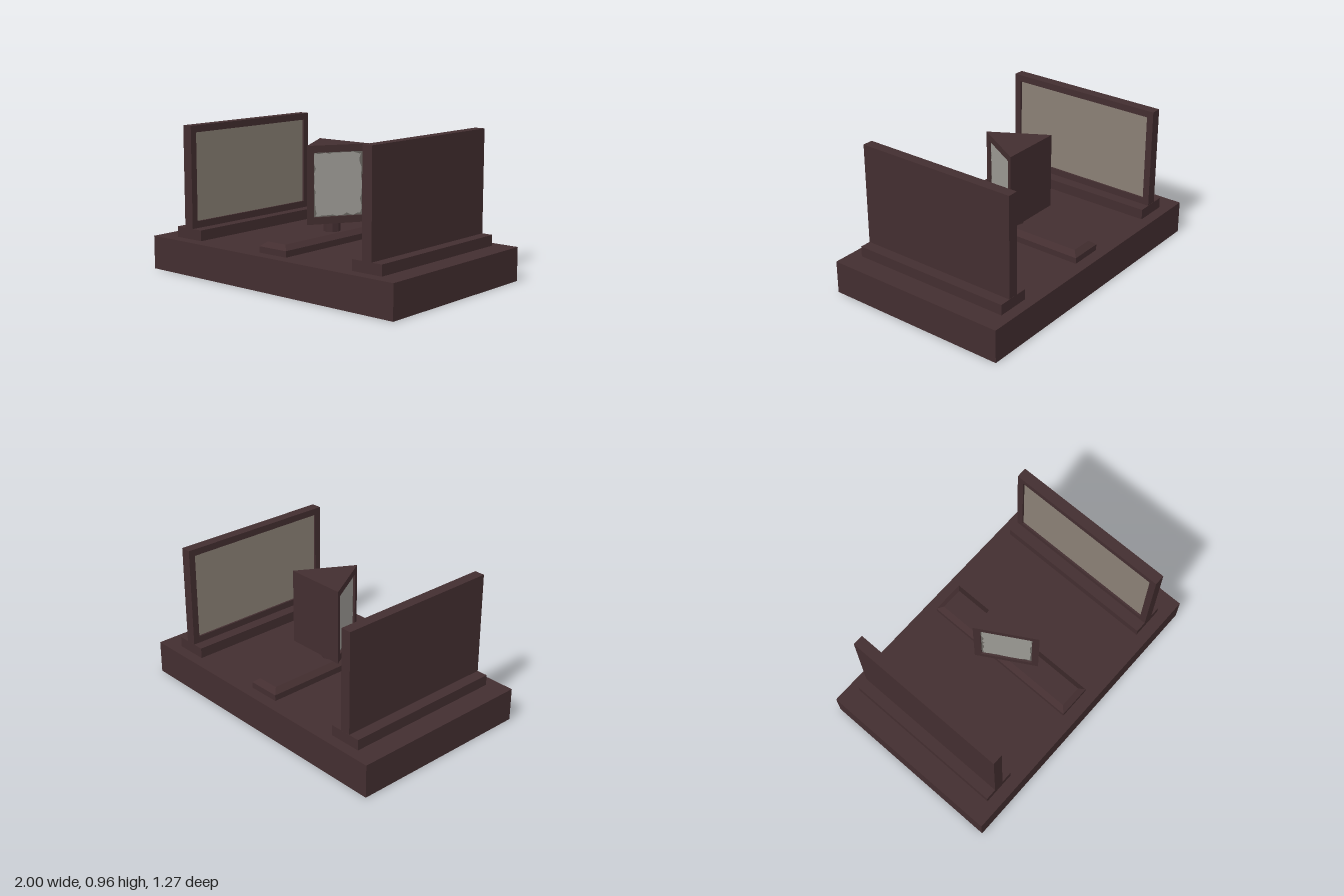
import * as THREE from 'three';

const mat = (name, color) => {
  const m = new THREE.MeshStandardMaterial({ color });
  m.name = name;
  return m;
};

// Small seeded generator for the worn mirror edges
function seeded(seed) {
  return () => {
    seed = (seed * 16807) % 2147483647;
    return seed / 2147483647;
  };
}

const BORDER = 0.045; // frame width around each recess
const DEPTH = 0.015; // recess depth

// Extrudes a plan outline of [x, z] points upwards from y0 to y1
function planPrism(points, y0, y1, bevel) {
  const shape = new THREE.Shape(points.map(([x, z]) => new THREE.Vector2(x, -z)));
  const geo = new THREE.ExtrudeGeometry(shape, { depth: y1 - y0, bevelEnabled: false, ...bevel });
  geo.rotateX(-Math.PI / 2);
  geo.translate(0, y0, 0);
  return geo;
}

// Length, direction and outward normal of one side of an outline
function sideOf(points, i) {
  const p = new THREE.Vector2(...points[i]);
  const q = new THREE.Vector2(...points[(i + 1) % points.length]);
  const centre = new THREE.Vector2();
  points.forEach(([x, z]) => centre.add(new THREE.Vector2(x, z)));
  centre.divideScalar(points.length);
  const dir = q.clone().sub(p).normalize();
  const normal = new THREE.Vector2(-dir.y, dir.x);
  const middle = p.clone().add(q).multiplyScalar(0.5);
  if (normal.dot(middle.clone().sub(centre)) < 0) normal.negate();
  return { p, q, dir, normal, middle, length: p.distanceTo(q) };
}

// Rectangle outline with uneven, worn edges
function wornShape(w, h, rand) {
  const pts = [];
  const corners = [[-w / 2, -h / 2], [w / 2, -h / 2], [w / 2, h / 2], [-w / 2, h / 2]];
  corners.forEach(([x, y], i) => {
    const [nx, ny] = corners[(i + 1) % 4];
    for (let k = 0; k < 14; k++) {
      const t = (k + 0.5) / 14;
      const bite = 0.003 + 0.018 * rand() ** 2;
      const px = x + (nx - x) * t, py = y + (ny - y) * t;
      pts.push(new THREE.Vector2(
        THREE.MathUtils.clamp(px, -w / 2 + bite, w / 2 - bite),
        THREE.MathUtils.clamp(py, -h / 2 + bite, h / 2 - bite)));
    }
  });
  return new THREE.Shape(pts);
}

// Upright body with a recessed window on the chosen sides
function framedBody(name, points, recessed, y0, y1, wood, glass) {
  const group = new THREE.Group();
  group.name = name;
  const add = (part, geo, material) => {
    const mesh = new THREE.Mesh(geo, material);
    mesh.name = part;
    group.add(mesh);
    return mesh;
  };
  const low = y0 + BORDER, high = y1 - BORDER;

  const outline = [];
  points.forEach((pt, i) => {
    outline.push(pt);
    if (!recessed.includes(i)) return;
    const s = sideOf(points, i);
    const at = (from, along, inward) => {
      const v = from.clone().addScaledVector(s.dir, along).addScaledVector(s.normal, -inward);
      outline.push([v.x, v.y]);
    };
    at(s.p, BORDER, 0);
    at(s.p, BORDER, DEPTH);
    at(s.q, -BORDER, DEPTH);
    at(s.q, -BORDER, 0);
  });
  add('bottomFrame', planPrism(points, y0, low), wood);
  add('frameBody', planPrism(outline, low, high), wood);
  add('topFrame', planPrism(points, high, y1), wood);

  // Glass lies on the floor of each recess
  recessed.forEach((i) => {
    const s = sideOf(points, i);
    const w = s.length - 2 * BORDER, h = high - low;
    const place = (mesh, lift) => {
      const v = s.middle.clone().addScaledVector(s.normal, lift - DEPTH);
      mesh.position.set(v.x, (low + high) / 2, v.y);
      mesh.rotation.y = Math.atan2(s.normal.x, s.normal.y);
    };
    place(add('glassBacking', new THREE.PlaneGeometry(w, h), glass.backing), 0.002);
    if (glass.face) {
      const shape = wornShape(w, h, seeded(71 + i * 37));
      place(add('glassFace', new THREE.ShapeGeometry(shape), glass.face), 0.004);
    }
  });
  return group;
}

export function createModel() {
  const wood = mat('dark wood', 0x432e30);
  const panelGlass = mat('warm grey glass', 0x8a8075);
  const mirrorGlass = mat('silver mirror', 0x9e9c96);
  const wornEdge = mat('worn mirror edge', 0x6c6863);

  const model = new THREE.Group();
  model.name = 'mirrorStand';
  const add = (name, geo, x = 0, y = 0, z = 0) => {
    const mesh = new THREE.Mesh(geo, wood);
    mesh.name = name;
    mesh.position.set(x, y, z);
    model.add(mesh);
  };

  // Base board
  add('base', new THREE.BoxGeometry(2, 0.22, 1.266), 0, 0.11, 0);

  // Side panels on plinths, glass facing inwards
  for (const s of [1, -1]) {
    const side = s > 0 ? 'left' : 'right';
    add(side + 'Plinth', new THREE.BoxGeometry(0.22, 0.07, 1.115), s * 0.745, 0.255, -0.003);
    const plan = [[s * 0.71, -0.56], [s * 0.71, 0.555], [s * 0.78, 0.555], [s * 0.78, -0.56]];
    model.add(framedBody(side + 'Panel', plan, [0], 0.29, 0.96, wood, { backing: panelGlass }));
  }

  // Centre rail with chamfered top; its lower chamfer is sunk in the base
  const rail = [[-0.075, -0.52], [0.075, -0.52], [0.075, 0.515], [-0.075, 0.515]];
  add('centreRail', planPrism(rail, 0.22, 0.26, {
    bevelEnabled: true, bevelSize: 0.036, bevelThickness: 0.03, bevelSegments: 1,
  }));

  // Post and three-sided mirror
  add('post', new THREE.CylinderGeometry(0.055, 0.055, 0.08, 8).toNonIndexed(), 0, 0.325, 0);
  model.children[model.children.length - 1].geometry.computeVertexNormals();
  const triangle = [[-0.21, -0.123], [0, 0.236], [0.21, -0.123]];
  model.add(framedBody('triangularMirror', triangle, [0, 1], 0.36, 0.86, wood,
    { backing: wornEdge, face: mirrorGlass }));

  return model;
}
